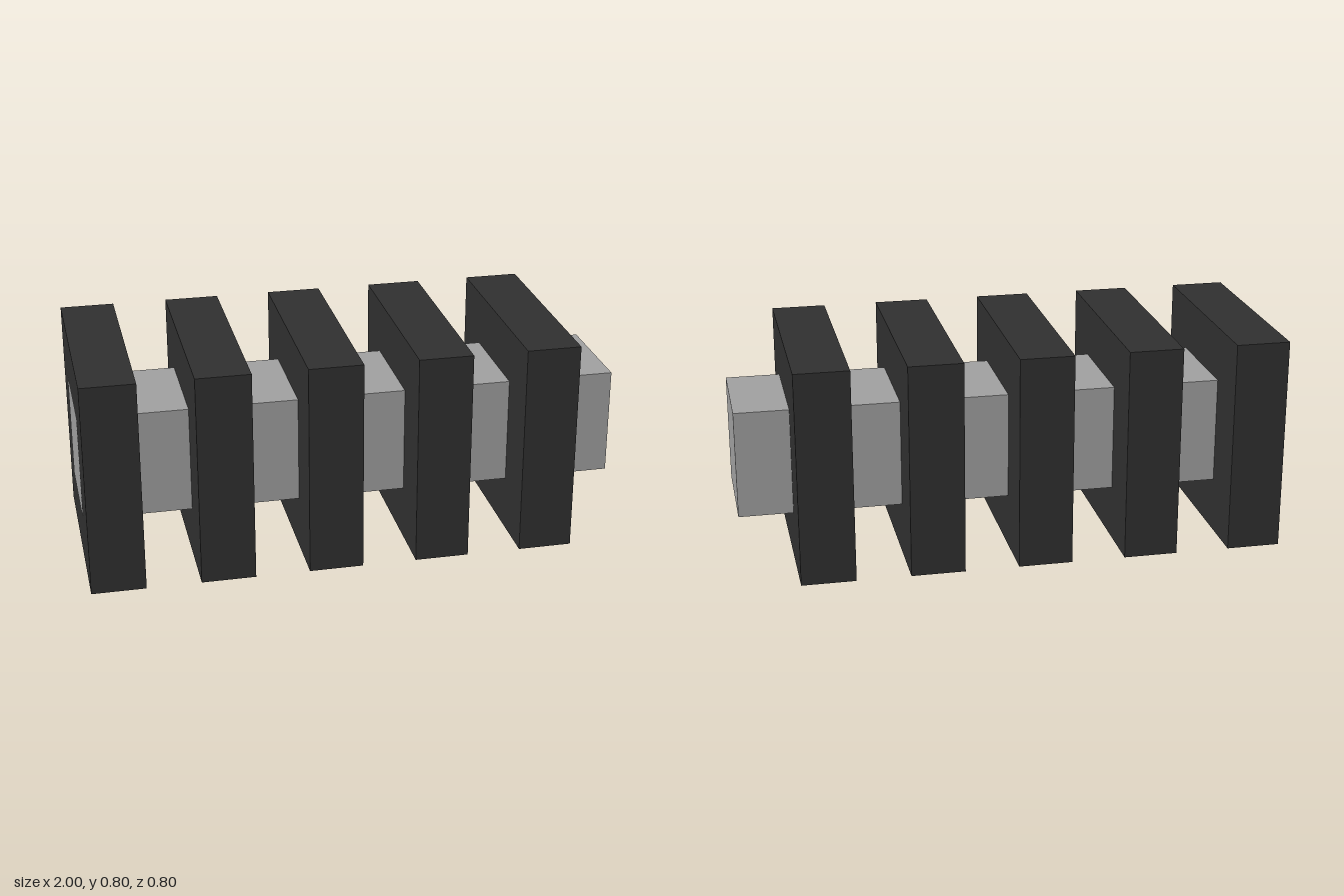
import * as THREE from 'three';

const dark = new THREE.MeshStandardMaterial({ name: 'dark grey', color: 0x303030 });
const light = new THREE.MeshStandardMaterial({ name: 'light grey', color: 0xa0a0a0 });

export function createModel() {
  const model = new THREE.Group();
  model.name = 'finnedBar';

  // square core bar running the full length
  const core = new THREE.Mesh(new THREE.BoxGeometry(2, 0.4, 0.4), light);
  core.name = 'coreBar';
  core.position.y = 0.4;
  model.add(core);

  // five evenly spaced square fins; the first is a hair short so the bar end stays visible
  for (let i = 0; i < 5; i++) {
    const inset = i === 0 ? 0.001 : 0;
    const fin = new THREE.Mesh(new THREE.BoxGeometry(0.2 - inset, 0.8, 0.8), dark);
    fin.name = `fin${i + 1}`;
    fin.position.set(-0.9 + i * 0.4 + inset / 2, 0.4, 0);
    model.add(fin);
  }
  return model;
}
